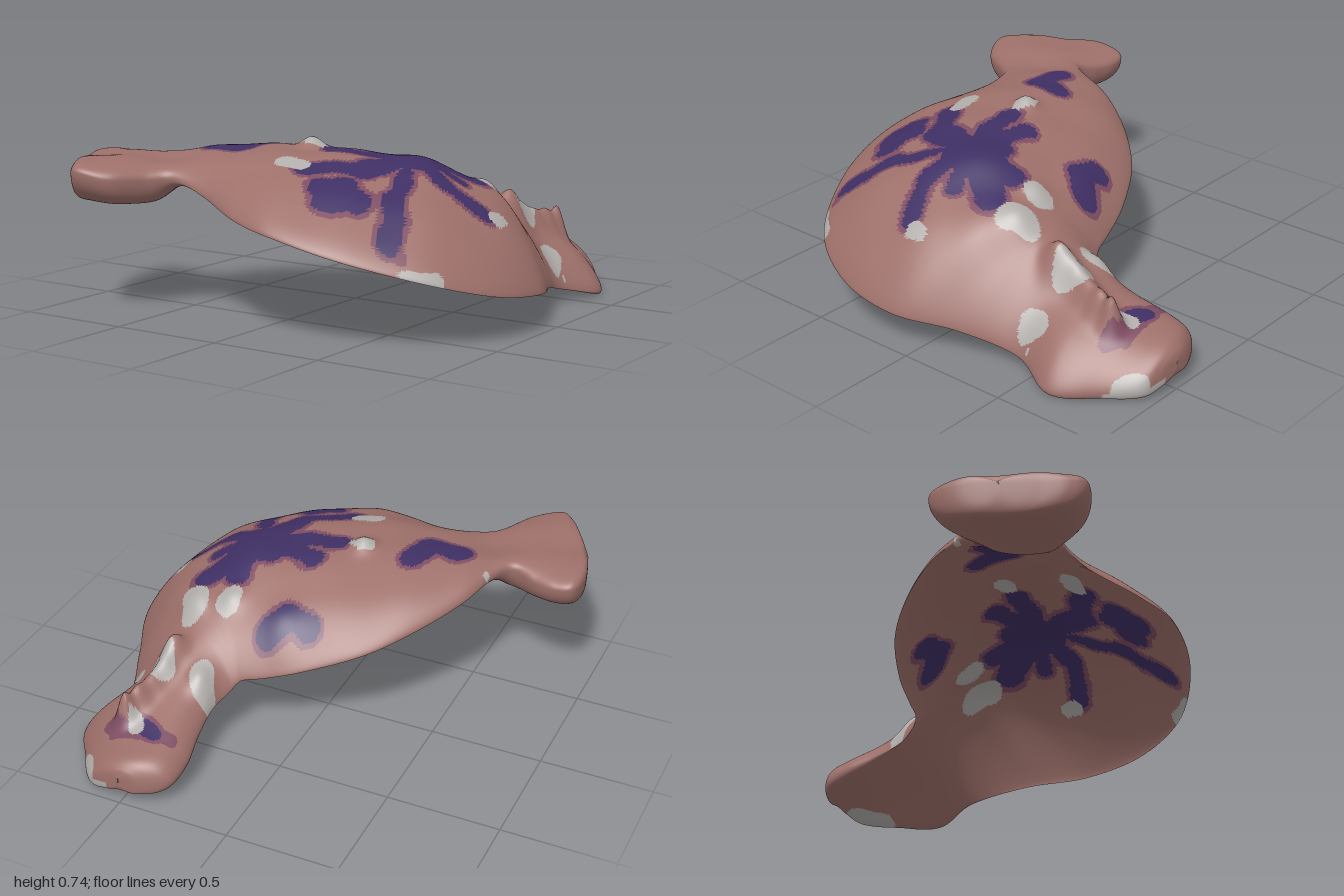
import * as THREE from 'three';

const paint = (name, color) => Object.assign(new THREE.MeshStandardMaterial({ color }), { name });

// Outline stations from tail to head: x, y, z of the two rims
const backRim = [
  [-.93, .62, .72], [-.975, .63, .55], [-.96, .63, .43], [-.88, .62, .405], [-.78, .62, .425], [-.68, .64, .45], [-.62, .64, .38],
  [-.55, .6, .18], [-.42, .54, -.02], [-.25, .47, -.19], [-.03, .4, -.31], [.13, .35, -.36], [.22, .33, -.385], [.25, .31, -.4],
  [.27, .28, -.43], [.305, .24, -.52], [.3, .2, -.66], [.28, .16, -.8], [.3, .13, -.92], [.4, .11, -.985], [.5, .11, -1]];
const frontRim = [
  [-.93, .62, .72], [-.85, .62, .85], [-.78, .63, .96], [-.71, .64, 1], [-.59, .61, .94], [-.5, .6, .79], [-.42, .6, .725],
  [-.25, .55, .75], [0, .49, .87], [.22, .45, .92], [.5, .375, .86], [.8, .285, .67], [.95, .21, .4], [.975, .17, .1],
  [.87, .14, -.17], [.79, .08, -.42], [.87, .04, -.64], [.77, .05, -.82], [.68, .07, -.95], [.6, .09, -.985], [.5, .11, -1]];
// Height of the back along the middle, and depth of flesh beneath it
const crown = [.63, .67, .68, .68, .68, .67, .67, .7, .715, .715, .7, .66, .59, .53, .45, .36, .29, .25, .22, .18, .14];
const depth = [.15, .19, .19, .19, .19, .17, .11, .05, .02, .02, .02, .02, .02, .02, .03, .07, .12, .14, .14, .12, .1];

// Bumps on the back: x, z, radius, height
const bumps = [
  [-.05, .25, .055, .05], [.6, -.75, .038, .12], [.58, -.68, .05, .09], [.56, -.6, .055, .07], [.54, -.52, .055, .07],
  [.54, -.43, .06, .1], [.54, -.22, .07, .03], [.38, -.18, .06, .03], [.36, -.5, .06, .04], [.12, -.22, .08, .02],
  [.4, .12, .12, .02]];

// Painted marks as rounded strokes: x1, z1, x2, z2, radius
const purpleMarks = [
  [.36, .12, .42, .18, .11], [.4, .1, .4, -.07, .05], [.45, .1, .55, -.08, .06], [.4, .2, .06, .24, .05],
  [.4, .18, .13, .1, .05], [.47, .18, .6, .235, .045], [.6, .235, .75, .19, .04], [.48, .14, .58, .09, .035],
  [.38, .22, .32, .42, .07], [.32, .42, .12, .54, .05], [.46, .31, .53, .5, .035], [.53, .5, .62, .69, .045],
  [.27, .63, .41, .62, .07], [.33, .6, .34, .67, .08], [-.44, .39, -.31, .39, .06], [-.28, .26, -.32, .38, .055],
  [0, -.2, .1, -.18, .045], [.09, -.19, .16, -.25, .055], [.43, -.8, .51, -.77, .03]];
const mauveMarks = [[.37, -.79, .6, -.82, .035], [.6, -.82, .67, -.77, .025], [.6, .71, .68, .7, .03]];
const greyMarks = [
  [.39, -.2, .39, -.17, .052], [.53, -.25, .56, -.18, .057], [.34, -.53, .37, -.47, .052], [.53, -.54, .56, -.49, .057],
  [.72, -.48, .735, -.43, .04], [.79, .1, .79, .15, .027], [-.05, .25, -.03, .25, .047], [.02, .53, .08, .52, .047],
  [.53, -.79, .54, -.76, .032], [.785, -.47, .785, -.47, .012], [-.59, .33, -.59, .34, .012],
  [.72, .745, .82, .65, .022], [.66, -.97, .74, -.88, .025]];
// The thin body carries its marks on both sides; head and tail have their own beneath
const showsBelow = ([, z]) => z > -.4;
const purpleBelow = purpleMarks.filter(showsBelow);
const mauveBelow = [[-.58, .48, -.52, .46, .06]];
const greyBelow = [...greyMarks.filter(showsBelow), [.62, -.94, .7, -.88, .08]];

// Distance from a point to the edge of the nearest stroke
function reach(marks, x, z) {
  return Math.min(...marks.map(([x1, z1, x2, z2, r]) => {
    const dx = x2 - x1, dz = z2 - z1;
    const t = THREE.MathUtils.clamp(((x - x1) * dx + (z - z1) * dz) / (dx * dx + dz * dz || 1), 0, 1);
    return Math.hypot(x - x1 - t * dx, z - z1 - t * dz) - r;
  }));
}

// 0 skin, 1 purple, 2 mauve, 3 grey
function colourAt(x, z, above) {
  const wave = .005 * Math.sin(38 * x + 9 * z) + .004 * Math.sin(43 * z - 11 * x);
  const [purple, mauve, grey] = above ? [purpleMarks, mauveMarks, greyMarks] : [purpleBelow, mauveBelow, greyBelow];
  if (reach(grey, x, z) + wave < 0) return 3;
  const d = reach(purple, x, z) + wave;
  if (d < 0) return 1;
  return d < .021 || reach(mauve, x, z) + wave < 0 ? 2 : 0;
}

function bodyGeometry(rows, ring) {
  const curve = (pts) => new THREE.CatmullRomCurve3(pts.map((p) => new THREE.Vector3(...p)), false, 'catmullrom', .5);
  const profile = (list) => new THREE.SplineCurve(list.map((h, i) => new THREE.Vector2(i, h)));
  const back = curve(backRim), front = curve(frontRim), ridge = profile(crown), flesh = profile(depth);
  const pos = [], faces = [[], [], [], []];

  // Cross-section loops: over the top from back rim to front rim, then under
  for (let i = 0; i <= rows; i++) {
    const u = i / rows, a = back.getPoint(u), b = front.getPoint(u);
    const taper = Math.sqrt(Math.max(0, 1 - Math.abs(2 * u - 1) ** 14));
    const upper = .06 * taper, thick = flesh.getPoint(u).y * taper;
    const arch = ridge.getPoint(u).y - upper - (a.y + b.y) / 2;
    for (let k = 0; k < ring; k++) {
      const angle = 2 * Math.PI * k / ring, s = -Math.cos(angle), side = Math.sin(angle);
      const round = Math.abs(side) * Math.sqrt(1 + s * s);
      const p = a.clone().lerp(b, (s + 1) / 2);
      p.y += arch * (1 - s * s) * (1 - .15 * s) + (side > 0 ? upper : upper - thick) * round;
      const ripple = .007 * Math.sin(13 * p.x + 5 * p.z) * Math.sin(15 * p.z - 4 * p.x);
      p.y += ripple * Math.abs(side);
      if (side > 0) {
        for (const [x, z, r, h] of bumps) {
          p.y += h * Math.min(1, 3 * side) * Math.exp(-((p.x - x) ** 2 + (p.z - z) ** 2) / (r * r));
        }
      }
      pos.push(p.x, Math.max(0, p.y), p.z);
    }
  }

  // Faces sorted by colour
  const addFace = (above, ...c) => {
    const mean = (axis) => c.reduce((sum, v) => sum + pos[3 * v + axis], 0) / 3;
    faces[colourAt(mean(0), mean(2), above)].push(...c);
  };
  for (let i = 0; i < rows; i++) {
    for (let k = 0; k < ring; k++) {
      const n = (k + 1) % ring, above = k < ring / 2;
      const p = i * ring + k, q = i * ring + n;
      if (i > 0) addFace(above, p, q, p + ring);
      if (i < rows - 1) addFace(above, q, q + ring, p + ring);
    }
  }

  const geo = new THREE.BufferGeometry();
  geo.setAttribute('position', new THREE.Float32BufferAttribute(pos, 3));
  geo.setIndex(faces.flat());
  let start = 0;
  faces.forEach((f, m) => {
    geo.addGroup(start, f.length, m);
    start += f.length;
  });
  geo.computeVertexNormals();
  return geo;
}

export function createModel() {
  const group = new THREE.Group();
  group.name = 'seaCreature';
  const materials = [
    paint('dusty pink skin', 0x9e706a), paint('deep purple', 0x3f2f64),
    paint('mauve fringe', 0x7f4d62), paint('pale grey', 0xb2aeab)];
  const body = new THREE.Mesh(bodyGeometry(360, 200), materials);
  body.name = 'body';
  group.add(body);
  return group;
}
